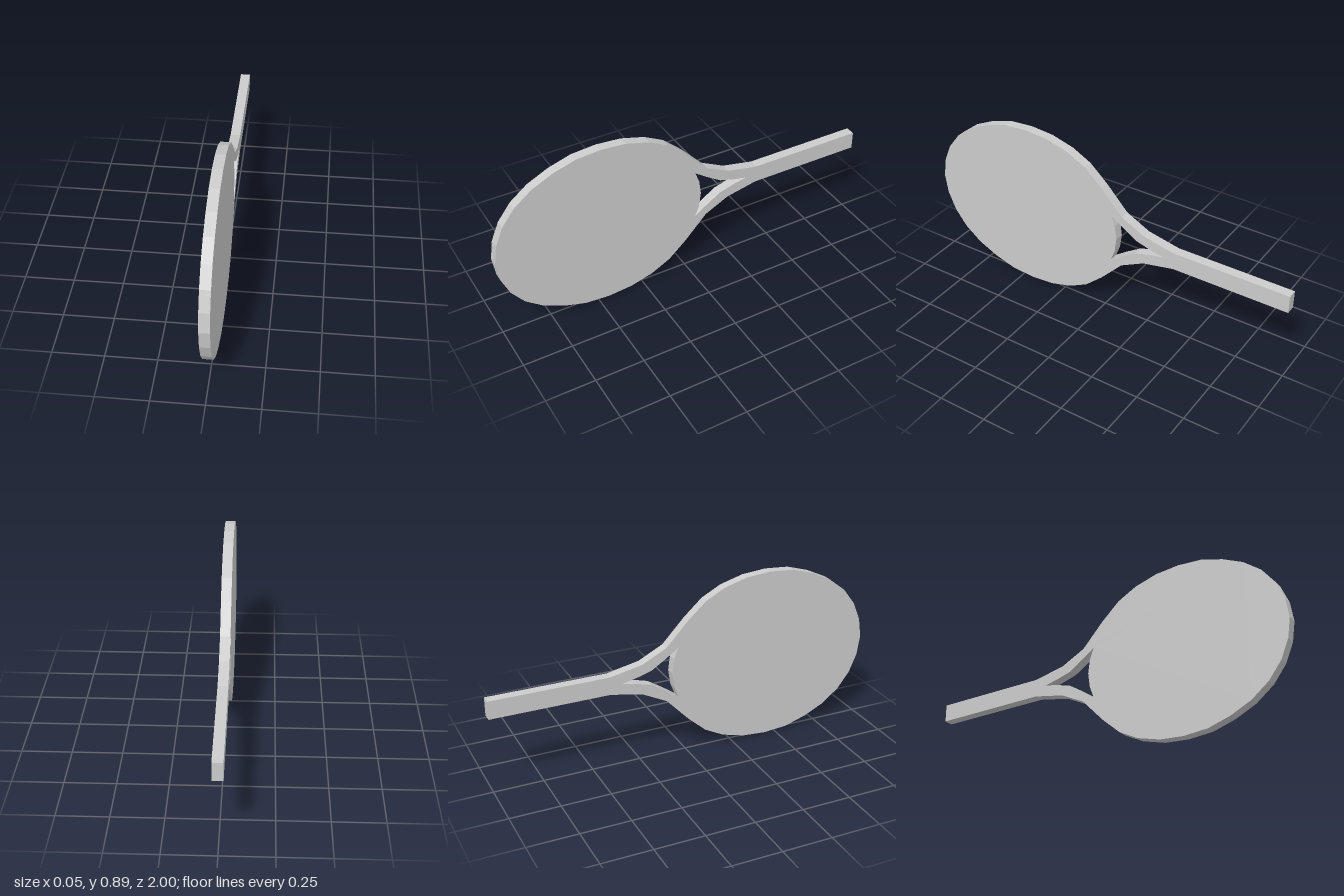
import * as THREE from 'three';

const MID = 0.445; // height of the long axis
const THICK = 0.05;

// Mirrors a half profile of [z, height above axis] into a closed loop;
// points on the axis are kept once.
function mirrored(half) {
  const lower = half.filter(p => p[1] > 0).reverse().map(([z, h]) => [z, -h]);
  return [...half, ...lower].map(([z, h]) => new THREE.Vector2(z, MID + h));
}

export function createModel() {
  const group = new THREE.Group();
  group.name = 'racket';

  // Oval head flowing through the throat into the straight handle
  const outline = mirrored([
    [1, 0], [0.985, 0.1], [0.945, 0.195], [0.88, 0.28], [0.79, 0.35],
    [0.685, 0.4], [0.57, 0.435], [0.445, 0.445], [0.32, 0.435],
    [0.2, 0.402], [0.1, 0.35], [0.005, 0.265],
    [-0.11, 0.143], [-0.235, 0.08], [-0.4, 0.046], [-1, 0.046],
  ]);

  // Pointed opening between the head and the two throat arms
  const opening = mirrored([
    [-0.08, 0], [-0.07, 0.075], [-0.048, 0.133],
    [-0.112, 0.088], [-0.19, 0.038], [-0.27, 0.015], [-0.34, 0],
  ]);

  const shape = new THREE.Shape(outline);
  shape.holes.push(new THREE.Path(opening));

  const geometry = new THREE.ExtrudeGeometry(shape, { depth: THICK, bevelEnabled: false });
  geometry.translate(0, 0, -THICK / 2);
  geometry.rotateY(-Math.PI / 2); // profile length runs along z

  const body = new THREE.Mesh(
    geometry,
    new THREE.MeshStandardMaterial({ color: 0xcccccc, flatShading: true })
  );
  body.name = 'headThroatAndHandle';
  group.add(body);
  return group;
}
